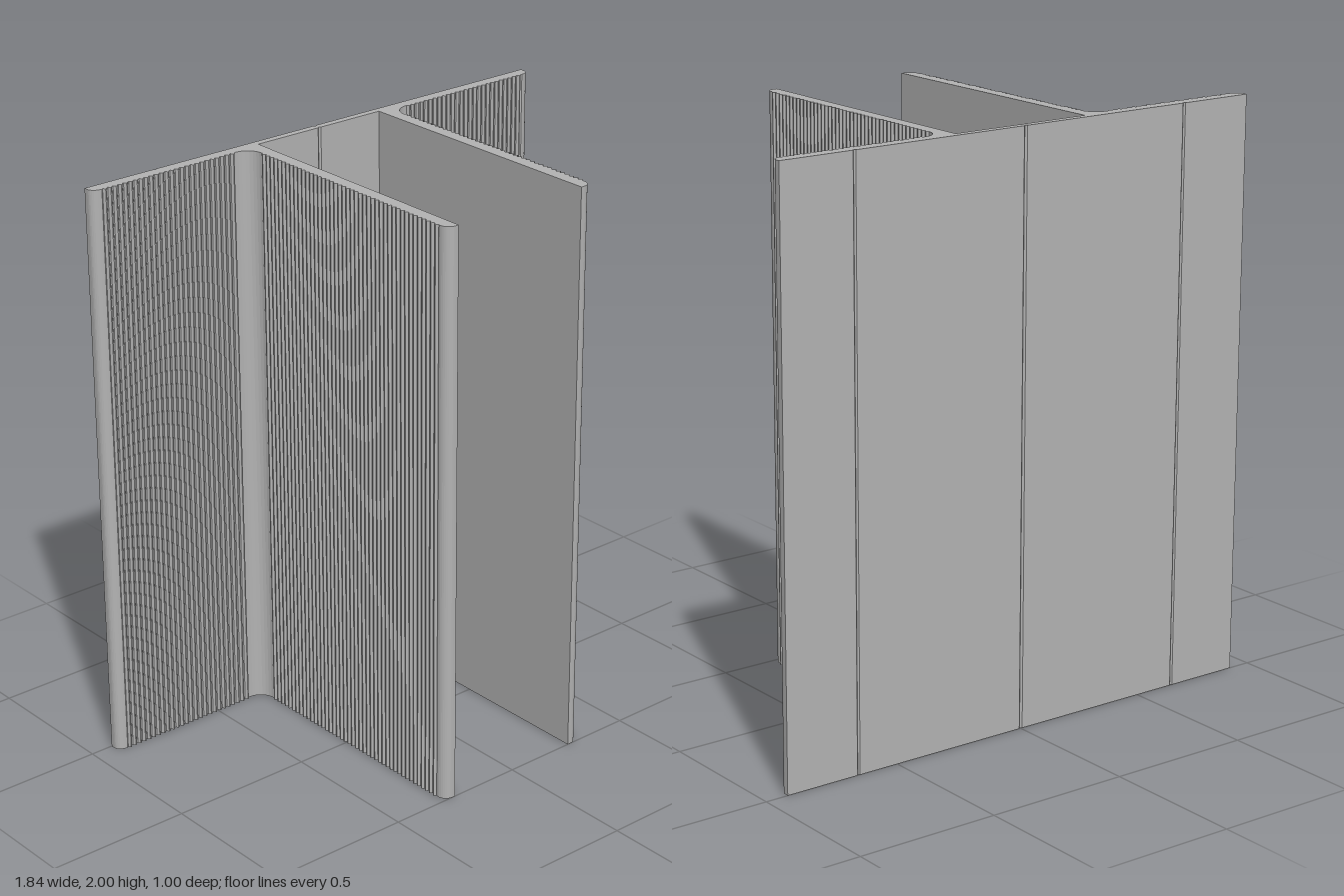
import * as THREE from 'three';

const HEIGHT = 2;

// Points along an arc in (x, z), angles in degrees
function arc(cx, cz, rx, rz, from, to, steps = 8) {
  const pts = [];
  for (let i = 0; i <= steps; i++) {
    const a = THREE.MathUtils.degToRad(from + ((to - from) * i) / steps);
    pts.push([cx + rx * Math.cos(a), cz + rz * Math.sin(a)]);
  }
  return pts;
}

// Zigzag ribs from a to b, standing out by (nx, nz)
function ribs(a, b, count, nx, nz) {
  const pts = [];
  for (let i = 0; i < count; i++) {
    for (const [f, h] of [[0.1, 0], [0.4, 1], [0.6, 1], [0.9, 0]]) {
      const t = (i + f) / count;
      pts.push([a[0] + (b[0] - a[0]) * t + nx * h, a[1] + (b[1] - a[1]) * t + nz * h]);
    }
  }
  return pts;
}

export function createModel() {
  const model = new THREE.Group();
  model.name = 'extrudedProfile';
  const aluminium = new THREE.MeshStandardMaterial({ color: 0xb4b4b4 });
  aluminium.name = 'grey aluminium';

  // Left half of the cross-section, from the channel centre round to the back centre
  const half = [
    [0, -0.481], [0.006, -0.475],                                  // channel centre groove
    [0.255, -0.475], [0.255, 0.5],                                 // inner face of the leg
    ...arc(0.267, 0.465, 0.033, 0.035, 90, 0),                     // rounded leg tip
    ...ribs([0.298, 0.46], [0.298, -0.4], 43, 0.008, 0),           // ribbed leg face
    ...arc(0.36, -0.4, 0.06, 0.06, 180, 270),                      // fillet between leg and flange
    ...ribs([0.362, -0.46], [0.882, -0.46], 26, 0, 0.008),         // ribbed flange face
    ...arc(0.885, -0.485, 0.035, 0.028, 90, 0),                    // rounded flange edge
    [0.92, -0.5],
    [0.655, -0.5], [0.65, -0.495], [0.645, -0.5],                  // side groove in the back
    [0.006, -0.5], [0, -0.494],                                    // centre groove in the back
  ];
  const mirrored = half.slice(1, -1).reverse().map(([x, z]) => [-x, z]);

  // Whole profile swept straight up
  const outline = [...half, ...mirrored].map(([x, z]) => new THREE.Vector2(x, -z));
  const geometry = new THREE.ExtrudeGeometry(new THREE.Shape(outline), {
    depth: HEIGHT, bevelEnabled: false, steps: 1,
  });
  geometry.rotateX(-Math.PI / 2);

  const profile = new THREE.Mesh(geometry, aluminium);
  profile.name = 'ribbedProfile';
  model.add(profile);
  return model;
}
